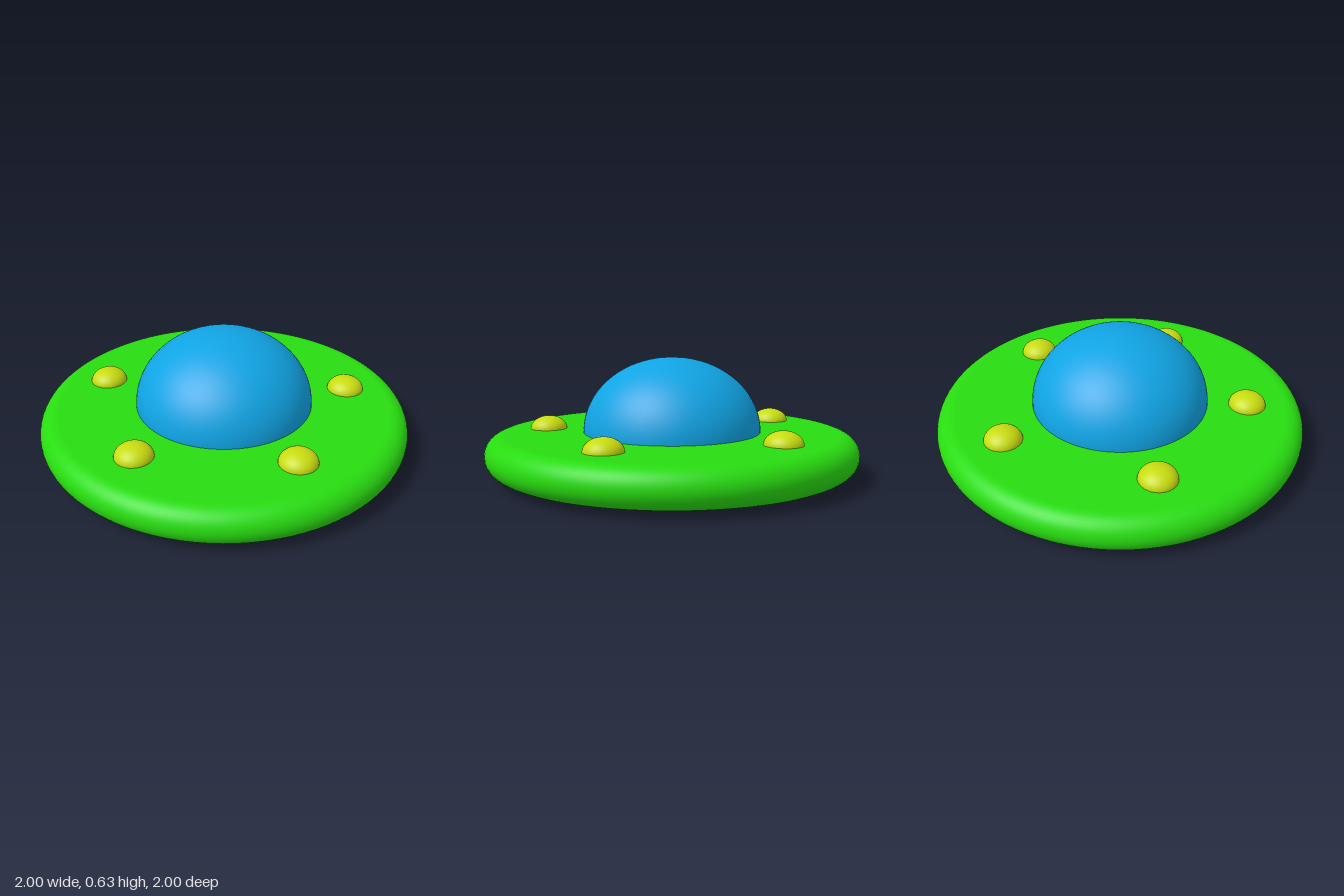
import * as THREE from 'three';

const paint = (color, side = THREE.FrontSide) => new THREE.MeshStandardMaterial({ color, side });

export function createModel() {
  const model = new THREE.Group();
  const add = (name, geometry, material, x = 0, y = 0, z = 0) => {
    const mesh = new THREE.Mesh(geometry, material);
    mesh.name = name;
    mesh.position.set(x, y, z);
    model.add(mesh);
    return mesh;
  };

  const green = paint(0x28dc10);
  const blue = paint(0x10a4e4);
  const yellow = paint(0xc8dc10);
  const black = paint(0x060606);
  const bottom = 0.03, deck = 0.23, edge = 0.1;

  // Saucer: flat faces joined by a half-round rim
  add('saucerTop', new THREE.CircleGeometry(1 - edge, 96).rotateX(-Math.PI / 2), green, 0, deck);
  add('saucerBottom', new THREE.CircleGeometry(1 - edge, 96).rotateX(Math.PI / 2), green, 0, bottom);
  const rim = [];
  for (let i = 0; i <= 20; i++) {
    const a = -Math.PI / 2 + (Math.PI * i) / 20;
    rim.push(new THREE.Vector2(1 - edge + edge * Math.cos(a), bottom + edge + edge * Math.sin(a)));
  }
  add('saucerRim', new THREE.LatheGeometry(rim, 96), green);

  // Upper half of a squashed sphere, resting on the deck
  const dome = (radius, height, segments) =>
    new THREE.SphereGeometry(radius, segments, segments / 2, 0, Math.PI * 2, 0, Math.PI / 2)
      .scale(1, height / radius, 1);
  add('cockpitDome', dome(0.48, 0.4, 64), blue, 0, deck);

  // Lights scattered around the deck
  const lamp = dome(0.1, 0.07, 32);
  [[-0.7, 0], [-0.21, -0.67], [0.605, -0.345], [0.53, 0.44], [-0.24, 0.65]]
    .forEach(([x, z], i) => add(`light${i + 1}`, lamp, yellow, x, deck, z));

  // Thin base ring with a coloured lining in its hole
  const outer = 0.71, inner = 0.33;
  add('baseRing', new THREE.RingGeometry(inner, outer, 96).rotateX(Math.PI / 2), black);
  add('baseRingWall', new THREE.CylinderGeometry(outer, outer, bottom, 96, 1, true), black, 0, bottom / 2);
  add('baseRingLining', new THREE.CylinderGeometry(inner, inner, bottom, 96, 1, true),
    paint(0x10a4e4, THREE.DoubleSide), 0, bottom / 2);

  return model;
}
